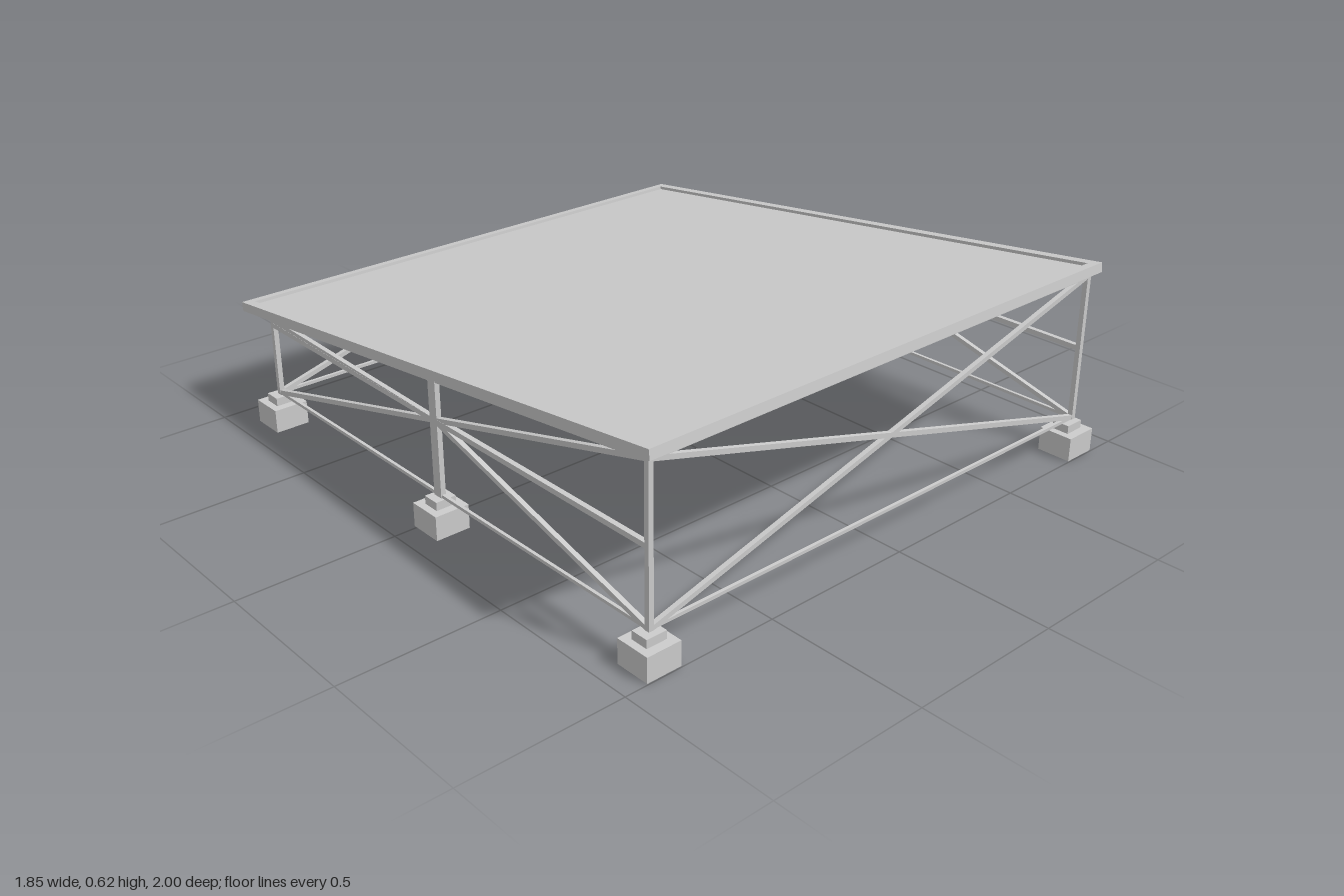
import * as THREE from 'three';

const grey = new THREE.MeshStandardMaterial({ color: 0xcccccc, flatShading: true });

function box(parent, name, w, h, d, x, y, z) {
  const mesh = new THREE.Mesh(new THREE.BoxGeometry(w, h, d), grey);
  mesh.name = name;
  mesh.position.set(x, y, z);
  parent.add(mesh);
  return mesh;
}

// Square bar running from point a to point b
function bar(parent, name, a, b, size = 0.015) {
  const from = new THREE.Vector3(...a), to = new THREE.Vector3(...b);
  const mesh = box(parent, name, size, size, from.distanceTo(to), 0, 0, 0);
  mesh.position.copy(from).lerp(to, 0.5);
  mesh.lookAt(to);
  return mesh;
}

const SLOPE = 0.1245;
const underside = (z) => 0.469 + SLOPE * (z + 0.0135);

// Tilted sheet with a raised rim
function createPanel() {
  const panel = new THREE.Group();
  panel.name = 'slopedPanel';
  const w = 1.79, l = 1.983, t = 0.03, rim = 0.03;
  const rect = (P, a, b) => {
    const p = new P();
    p.moveTo(-a, -b).lineTo(a, -b).lineTo(a, b).lineTo(-a, b).closePath();
    return p;
  };
  const shape = rect(THREE.Shape, w / 2, l / 2);
  shape.holes.push(rect(THREE.Path, w / 2 - rim, l / 2 - rim));
  const geo = new THREE.ExtrudeGeometry(shape, { depth: t, bevelEnabled: false });
  geo.rotateX(-Math.PI / 2).translate(0, -t / 2, 0);
  const frame = new THREE.Mesh(geo, grey);
  frame.name = 'panelRim';
  panel.add(frame);
  box(panel, 'panelSheet', w - 2 * rim, 0.02, l - 2 * rim, 0, -0.005, 0);
  panel.position.set(0, 0.484, -0.0135);
  panel.rotation.x = -Math.atan(SLOPE);
  return panel;
}

export function createModel() {
  const model = new THREE.Group();
  model.name = 'slopedCanopy';
  model.add(createPanel());

  const X = 0.87, FRONT = 0.94, MID = 0.045, BACK = -0.845;
  const LOW = 0.107, HUB = 0.342;
  const top = (z) => underside(z) - 0.008;

  for (const s of [-1, 1]) {
    const x = s * X;
    const side = new THREE.Group();
    side.name = s > 0 ? 'leftSide' : 'rightSide';
    model.add(side);

    // Feet and posts
    for (const z of [FRONT, MID, BACK]) {
      const fx = s > 0 && z === FRONT ? 0.85 : x;
      box(side, 'footBlock', 0.112, 0.076, 0.112, fx, 0.038, z);
      box(side, 'footCap', 0.066, 0.026, 0.056, fx, 0.089, z);
      const h = underside(z) - 0.1;
      box(side, 'post', 0.016, h, z === MID ? 0.034 : 0.016, x, 0.1 + h / 2, z);
    }

    // Rails and rafter
    bar(side, 'bottomRail', [x, LOW, FRONT], [x, LOW, BACK], 0.01);
    bar(side, 'middleRail', [x, HUB, FRONT], [x, HUB, BACK], 0.016);
    bar(side, 'rafter', [x, top(FRONT), FRONT], [x, top(BACK), BACK]);

    // Side braces meeting at the middle post
    bar(side, 'brace', [x, top(FRONT), FRONT], [x, HUB, MID]);
    bar(side, 'brace', [x, LOW, FRONT], [x, HUB, MID]);
    bar(side, 'brace', [x, HUB, MID], [x, LOW, BACK]);
    bar(side, 'brace', [x, HUB, MID], [x, top(BACK), BACK]);

    // Front cross brace and back inverted V brace
    bar(model, 'frontBrace', [x, LOW, FRONT], [-x, top(FRONT), FRONT]);
    bar(model, 'backBrace', [x, LOW, BACK], [0, top(BACK) - 0.008, BACK]);
  }

  // Beams across the width
  for (const z of [FRONT, MID, BACK]) {
    bar(model, 'crossBeam', [-X, top(z), z], [X, top(z), z]);
  }
  for (const z of [FRONT, BACK]) {
    bar(model, 'crossBottomRail', [-X, LOW, z], [X, LOW, z], 0.01);
  }
  return model;
}
